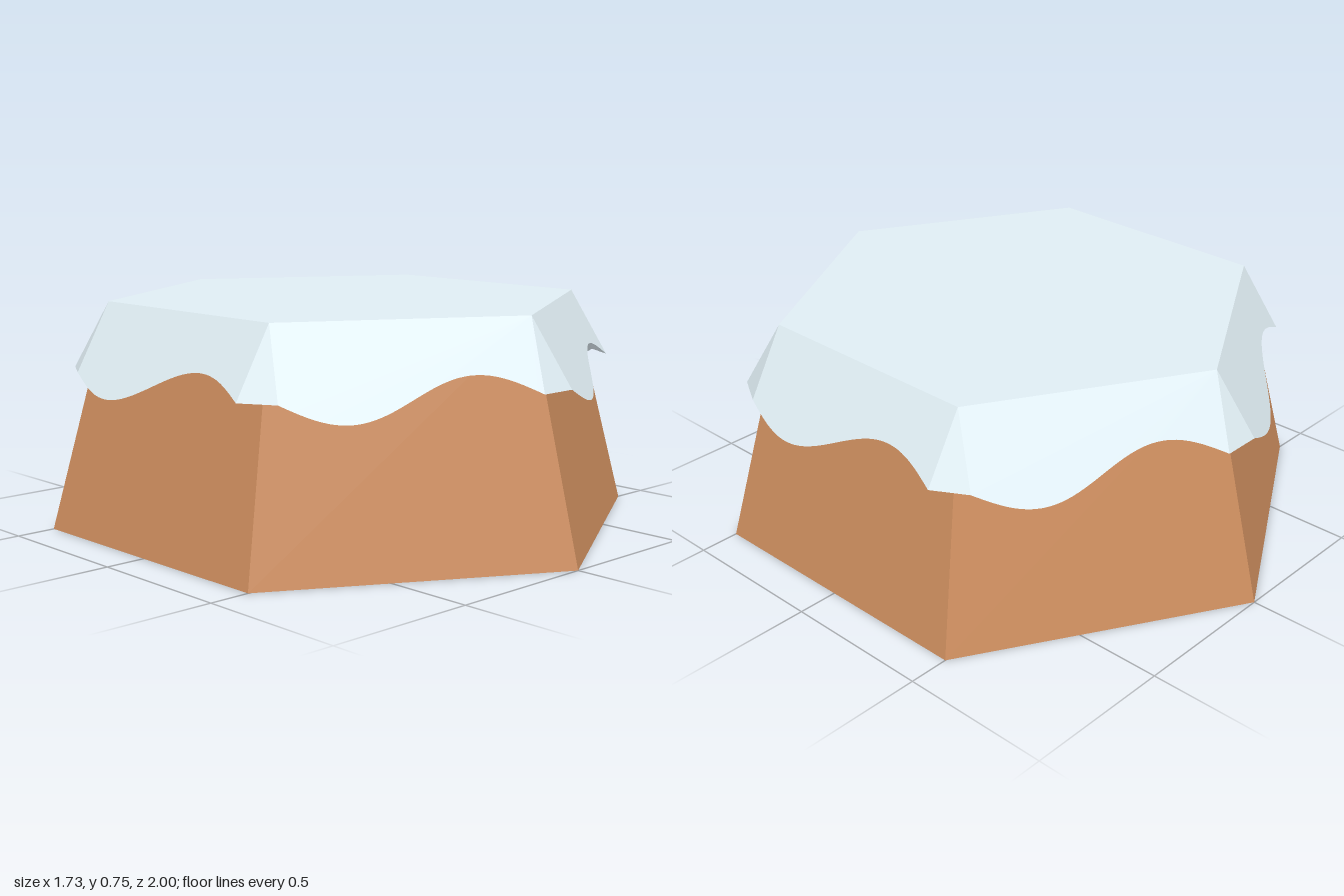
import * as THREE from 'three';

const SIDES = 6, HEIGHT = 0.75, TOP_R = 0.8, BASE_R = 1;
const TILT = Math.PI / 6;               // snow flaps lean out from vertical
const SLANT = 0.22 / Math.cos(TILT);    // mean flap length
const WAVE = 0.06 / Math.cos(TILT);     // height of the wavy hem

export function createModel() {
  const model = new THREE.Group();
  const rock = new THREE.MeshStandardMaterial({ color: 0xce8e5f, flatShading: true });
  const snow = new THREE.MeshStandardMaterial({ color: 0xe0eef4, flatShading: true, side: THREE.DoubleSide });

  const add = (name, geometry, material, parent = model) => {
    const mesh = new THREE.Mesh(geometry, material);
    mesh.name = name;
    parent.add(mesh);
    return mesh;
  };
  // Hexagon with corners on the z axis
  const hexagon = r => new THREE.CircleGeometry(r, SIDES, Math.PI / 2);

  // Tapered hexagonal hill
  add('hillSides', new THREE.CylinderGeometry(TOP_R, BASE_R, HEIGHT, SIDES, 1, true), rock)
    .position.y = HEIGHT / 2;
  add('hillBase', hexagon(BASE_R).rotateX(Math.PI / 2), rock);

  // Snow cap: flat top
  const cap = new THREE.Group();
  cap.name = 'snowCap';
  model.add(cap);
  add('snowTop', hexagon(TOP_R).rotateX(-Math.PI / 2), snow, cap).position.y = HEIGHT;

  // Flap with a straight top edge and one sine wave along its hem
  const half = TOP_R / 2, steps = 40;
  const outline = [new THREE.Vector2(half, 0), new THREE.Vector2(-half, 0)];
  for (let i = 0; i <= steps; i++) {
    const u = i / steps;
    outline.push(new THREE.Vector2(-half + u * 2 * half, -SLANT - WAVE * Math.sin(u * 2 * Math.PI)));
  }
  const flap = new THREE.ShapeGeometry(new THREE.Shape(outline))
    .rotateX(-TILT)
    .translate(0, HEIGHT, TOP_R * Math.cos(Math.PI / SIDES));

  // Triangle closing the gap between neighbouring flaps
  const out = SLANT * Math.sin(TILT), drop = HEIGHT - SLANT * Math.cos(TILT);
  const dx = out * Math.sin(Math.PI / SIDES), z = TOP_R + out * Math.cos(Math.PI / SIDES);
  const corner = new THREE.BufferGeometry().setFromPoints([
    new THREE.Vector3(0, HEIGHT, TOP_R),
    new THREE.Vector3(-dx, drop, z),
    new THREE.Vector3(dx, drop, z),
  ]);
  corner.computeVertexNormals();

  for (let i = 0; i < SIDES; i++) {
    const angle = i * 2 * Math.PI / SIDES;
    add('snowFlap', flap, snow, cap).rotation.y = angle + Math.PI / SIDES;
    add('snowCorner', corner, snow, cap).rotation.y = angle;
  }
  return model;
}
